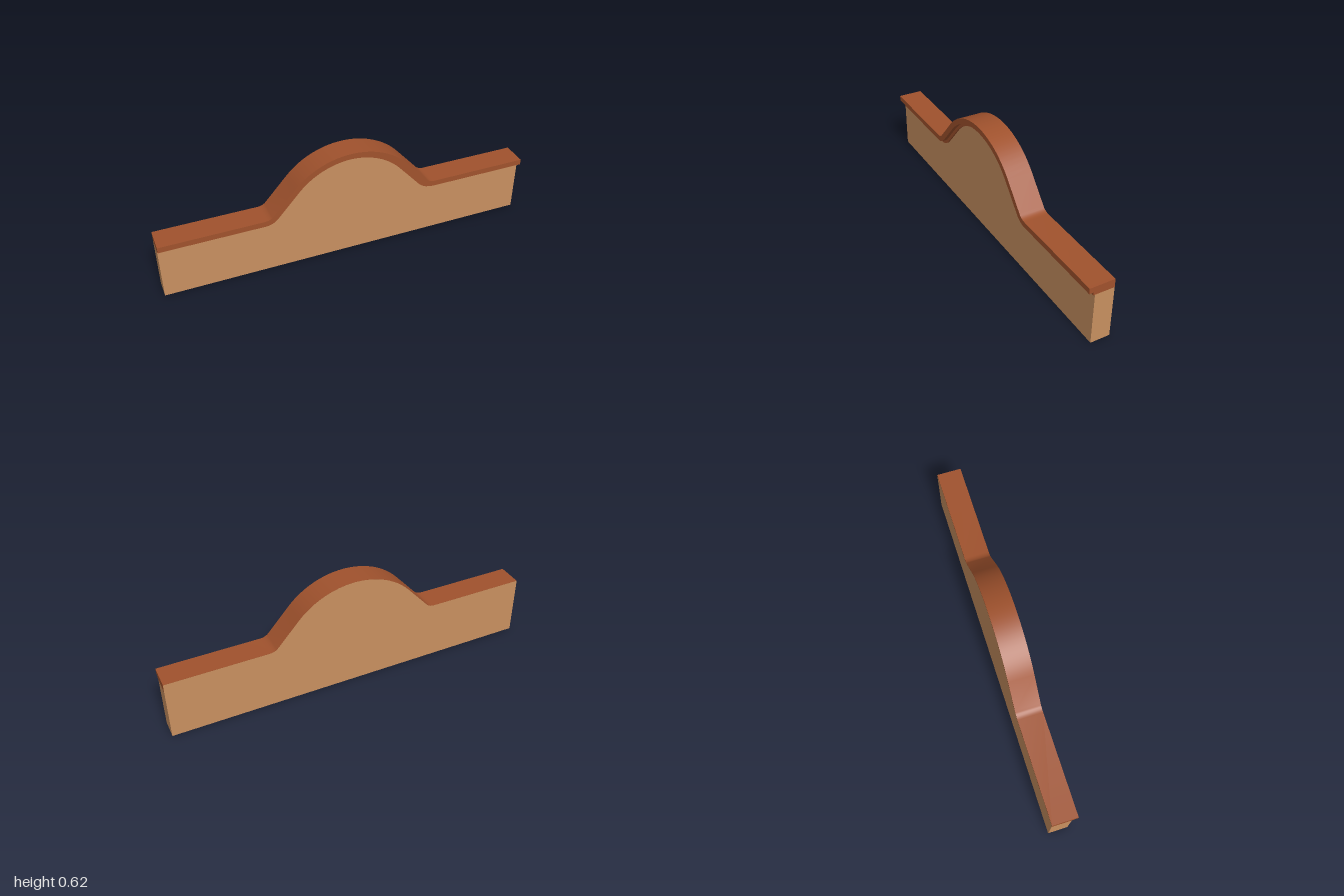
import * as THREE from 'three';
import { toCreasedNormals } from 'three/addons/utils/BufferGeometryUtils.js';

const BACK = -0.067;
const tan = new THREE.MeshStandardMaterial({ color: 0xc89060 });
const brown = new THREE.MeshStandardMaterial({ color: 0xa0522d });

// Top outline from left to right, moved inward by d: flat, fillet, slope, dome, mirrored
function outline(d) {
  const slope = THREE.MathUtils.degToRad(48);
  const half = [[1, 0.33 - d]];
  const fillet = 0.06 + d, dome = 0.41 - d;
  for (let i = 0; i <= 5; i++) {
    const a = slope * i / 5;
    half.push([0.465 - fillet * Math.sin(a), 0.39 - fillet * Math.cos(a)]);
  }
  for (let i = 0; i <= 12; i++) {
    const a = slope * (1 - i / 12);
    half.push([dome * Math.sin(a), 0.205 + dome * Math.cos(a)]);
  }
  const left = half.map(([x, y]) => new THREE.Vector2(-x, y));
  const right = half.slice(0, -1).reverse().map(([x, y]) => new THREE.Vector2(x, y));
  return [...left, ...right];
}

// Region under the outline, down to a straight base
function under(d, base) {
  return new THREE.Shape([new THREE.Vector2(-1, base), new THREE.Vector2(1, base), ...outline(d).reverse()]);
}

// Strip between two offsets of the outline
function band(outer, inner) {
  return new THREE.Shape([...outline(inner), ...outline(outer).reverse()]);
}

function add(group, name, geometry, material) {
  const mesh = new THREE.Mesh(geometry, material);
  mesh.name = name;
  group.add(mesh);
  return mesh;
}

function slab(shape, front) {
  const geo = new THREE.ExtrudeGeometry(shape, { depth: front - BACK, bevelEnabled: false });
  geo.translate(0, 0, BACK);
  return toCreasedNormals(geo, 0.4);
}

export function createModel() {
  const group = new THREE.Group();
  group.name = 'archedParapet';

  // Wall with the two-step moulding along its top
  add(group, 'wall', slab(under(0.046, 0.001), 0.036), tan);
  add(group, 'lowerMoulding', slab(band(0.03, 0.046), 0.045), brown);
  add(group, 'upperMoulding', slab(band(0, 0.03), 0.067), brown);

  // Plain back face reaching to the very top
  const back = add(group, 'backFace', new THREE.ShapeGeometry(under(0, 0)), tan);
  back.rotation.y = Math.PI;
  back.position.z = BACK - 0.001;

  // Dark underside
  const bottom = add(group, 'underside', new THREE.PlaneGeometry(2, 0.036 - BACK), brown);
  bottom.rotation.x = Math.PI / 2;
  bottom.position.z = (0.036 + BACK) / 2;

  return group;
}
